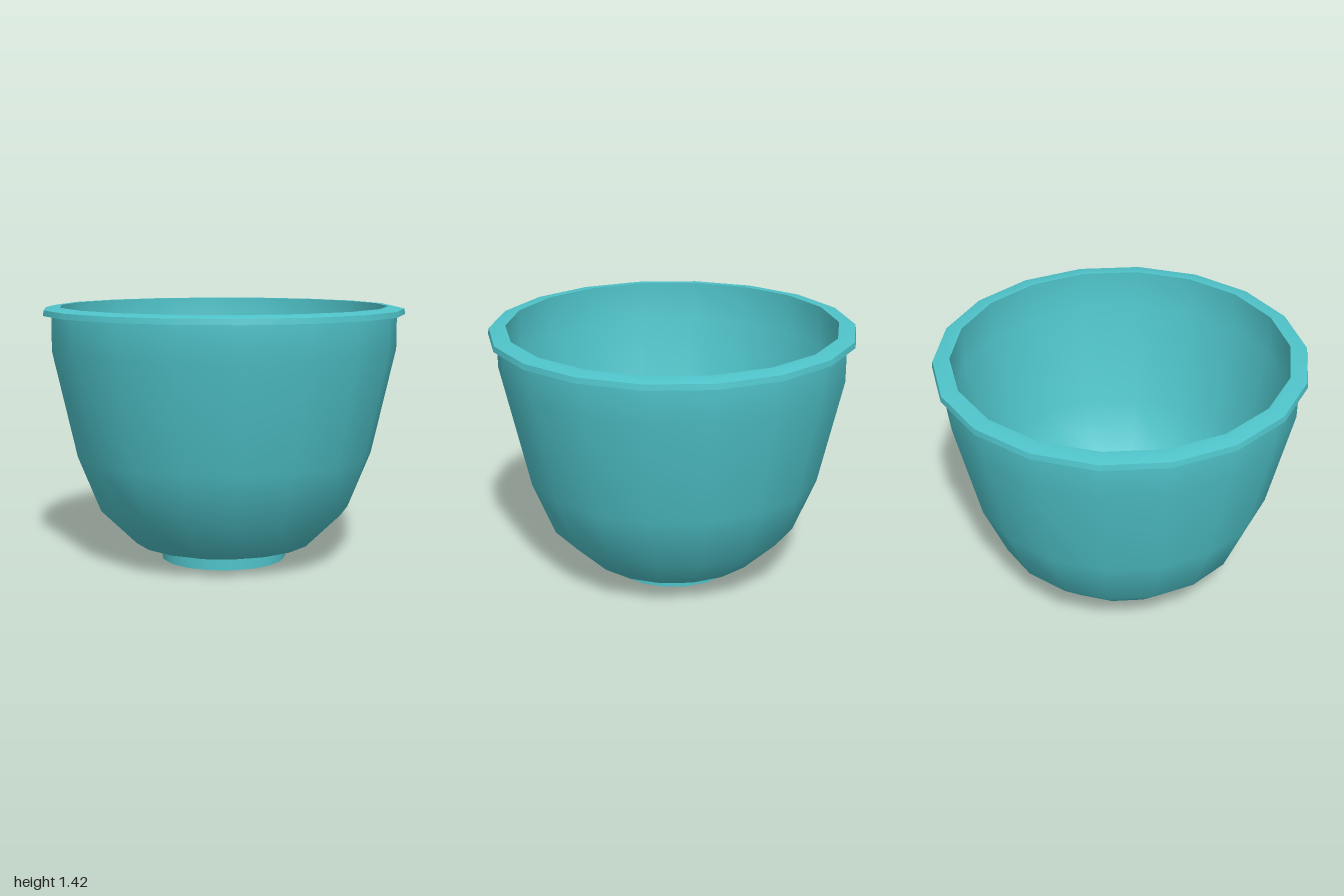
import * as THREE from 'three';

const SIDES = 18;

export function createModel() {
  const bowl = new THREE.Group();
  bowl.name = 'bowl';
  const material = new THREE.MeshStandardMaterial({ color: 0x4fc4ca });

  // Each profile runs [radius, height]; separate lathes keep a sharp edge between parts.
  const turn = (name, profile) => {
    const points = profile.map(([r, y]) => new THREE.Vector2(r, y));
    const mesh = new THREE.Mesh(new THREE.LatheGeometry(points, SIDES), material);
    mesh.name = name;
    bowl.add(mesh);
  };

  // Foot
  turn('footBase', [[0, 0], [0.35, 0]]);
  turn('footSide', [[0.35, 0], [0.35, 0.06]]);

  // Outer wall
  turn('outerWall', [
    [0.35, 0.06], [0.5, 0.1], [0.7, 0.295], [0.825, 0.605], [0.955, 1.185], [0.955, 1.375],
  ]);

  // Overhanging rim
  turn('rimUnderside', [[0.955, 1.375], [1, 1.375]]);
  turn('rimEdge', [[1, 1.375], [0.995, 1.405]]);
  turn('rimTop', [[0.995, 1.405], [0.94, 1.418], [0.905, 1.418]]);

  // Inner wall and floor
  turn('innerWall', [
    [0.905, 1.418], [0.905, 1.19], [0.775, 0.615], [0.655, 0.325], [0.47, 0.145], [0.33, 0.11], [0, 0.11],
  ]);

  return bowl;
}
